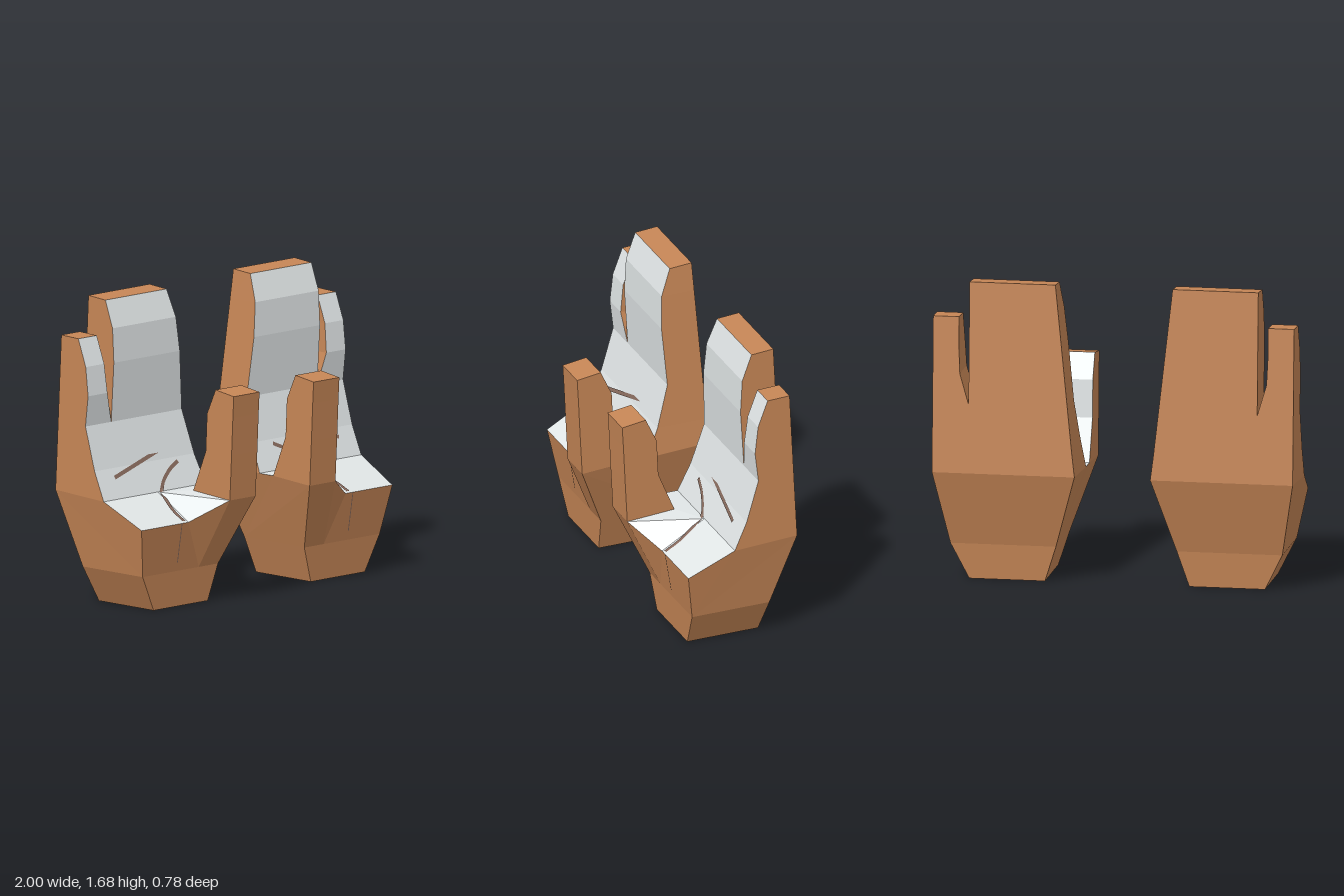
import * as THREE from 'three';

const mat = (name, color, side = THREE.FrontSide) =>
  Object.assign(new THREE.MeshStandardMaterial({ color, side }), { name });

export function createModel() {
  const skin = mat('skin brown', 0xc68656);
  const pale = mat('palm pale grey', 0xe3e8e9);
  const dark = mat('crease brown', 0x86695c, THREE.DoubleSide);

  // Flat-shaded mesh from corner loops; side = -1 mirrors it and keeps faces outward
  function faces(name, polys, material, side) {
    const pos = [];
    for (const poly of polys) {
      for (let i = 1; i < poly.length - 1; i++) {
        const tri = [poly[0], poly[i], poly[i + 1]];
        if (side < 0) tri.reverse();
        for (const [x, y, z] of tri) pos.push(x * side, y, z);
      }
    }
    const g = new THREE.BufferGeometry();
    g.setAttribute('position', new THREE.Float32BufferAttribute(pos, 3));
    g.computeVertexNormals();
    const m = new THREE.Mesh(g, material);
    m.name = name;
    return m;
  }

  // Stack of four-sided rows [frontY, frontZ, backY, backZ, innerX, outerX];
  // the strip on the palm side ('front', 'back' or none) is pale
  function loft(name, rows, side, { palm = '', top = false, bottom = false } = {}) {
    const rings = rows.map(([fy, fz, by, bz, xi, xo]) =>
      [[xi, fy, fz], [xo, fy, fz], [xo, by, bz], [xi, by, bz]]);
    const brown = [], light = [];
    for (let r = 0; r < rings.length - 1; r++) {
      for (let k = 0; k < 4; k++) {
        const n = (k + 1) % 4;
        const isPalm = (palm === 'front' && k === 0) || (palm === 'back' && k === 2);
        (isPalm ? light : brown).push([rings[r][k], rings[r][n], rings[r + 1][n], rings[r + 1][k]]);
      }
    }
    if (top) brown.push(rings.at(-1));
    if (bottom) brown.push([...rings[0]].reverse());
    const g = new THREE.Group();
    g.name = name;
    g.add(faces(name + 'Skin', brown, skin, side));
    if (light.length) g.add(faces(name + 'PalmSide', light, pale, side));
    return g;
  }

  // Thin ribbon lying just above the palm through [x, z] points
  function crease(name, points, side) {
    const lift = 0.005, half = 0.011;
    const at = (x, z) => {
      const slope = z < -0.02;
      const y = slope ? 0.6 - (z + 0.02) * 16 / 7 : 0.6 - (z + 0.02) * 0.49;
      const n = slope ? new THREE.Vector3(0, 0.4, 0.917) : new THREE.Vector3(0, 0.898, 0.44);
      return { p: new THREE.Vector3(x, y, z).addScaledVector(n, lift), n };
    };
    const curve = new THREE.CatmullRomCurve3(points.map(([x, z]) => new THREE.Vector3(x, 0, z)));
    const mid = curve.getSpacedPoints(24).map(v => at(v.x, v.z));
    const edge = mid.map(({ p, n }, i) => {
      const t = mid[Math.min(i + 1, 24)].p.clone().sub(mid[Math.max(i - 1, 0)].p);
      const w = t.cross(n).normalize().multiplyScalar(half);
      return [p.clone().add(w).toArray(), p.clone().sub(w).toArray()];
    });
    const quads = [];
    for (let i = 0; i < 24; i++) quads.push([edge[i][0], edge[i + 1][0], edge[i + 1][1], edge[i][1]]);
    return faces(name, quads, dark, side);
  }

  // Inner edge and back of the hand taper evenly toward the fingertips
  const inner = y => 0.21 + 0.115 * (y - 0.6) / 1.08;
  const back = y => -0.39 + 0.055 * (y - 0.62) / 1.06;
  const row = (y, z, xi, xo, by = y) => [y, z, by, back(by), xi, xo];

  function hand(name, side) {
    const g = new THREE.Group();
    g.name = name;

    // Wrist
    g.add(loft('wrist', [
      [0, 0.185, 0, -0.235, 0.4, 0.82],
      [0.2, 0.2, 0.2, -0.26, 0.335, 0.92],
    ], side, { bottom: true }));

    // Heel of the hand, with the web that climbs to the thumb
    const w0 = [0.335, 0.2, 0.2], wm = [0.485, 0.2, 0.2], w1 = [0.92, 0.2, 0.2];
    const k0 = [0.335, 0.2, -0.26], k1 = [0.92, 0.2, -0.26];
    const b0 = [0.21, 0.62, -0.39], b1 = [1, 0.62, -0.39];
    const t0 = [0.21, 0.58, 0.365], t1 = [0.41, 0.58, 0.365];
    const r0 = [0.21, 0.6, 0.085], r1 = [0.41, 0.6, 0.085];
    const c = [0.61, 0.47, 0.245], e = [0.974, 0.47, 0.245];
    const p0 = [0.21, 0.6, -0.02], pm = [0.58, 0.6, -0.02], p1 = [1, 0.6, -0.02];
    g.add(faces('heelSkin', [
      [w0, wm, t1, t0], [wm, c, t1], [wm, w1, e, c],
      [w1, k1, b1, p1, e], [k1, k0, b0, b1], [k0, w0, t0, r0, p0, b0],
    ], skin, side));
    g.add(faces('heelPalmSide', [[c, e, p1, pm], [t1, c, pm, r1], [r0, r1, pm, p0]], pale, side));

    // Palm
    g.add(loft('palm', [
      row(0.6, -0.02, 0.21, 1, 0.62),
      row(0.76, -0.09, inner(0.76), 1),
      row(1, -0.16, inner(1), 1),
    ], side, { palm: 'front' }));

    // Joined fingers
    g.add(loft('fingers', [
      row(1, -0.16, inner(1), 0.8),
      row(1.33, -0.14, inner(1.33), 0.8),
      row(1.52, -0.15, inner(1.52), 0.8),
      row(1.67, -0.205, inner(1.68), 0.8, 1.68),
    ], side, { palm: 'front', top: true }));

    // Little finger
    g.add(loft('littleFinger', [
      row(1, -0.16, 0.8, 1),
      row(1.17, -0.14, 0.85, 1),
      row(1.33, -0.158, 0.857, 1),
      row(1.48, -0.215, 0.857, 1, 1.485),
    ], side, { palm: 'front', top: true }));

    // Thumb
    g.add(loft('thumb', [
      [0.58, 0.365, 0.6, 0.085, 0.21, 0.41],
      [0.83, 0.378, 0.83, 0.18, 0.21, 0.41],
      [1.04, 0.388, 1.04, 0.19, 0.21, 0.41],
      [1.16, 0.395, 1.18, 0.255, 0.21, 0.41],
    ], side, { palm: 'back', top: true }));

    // Palm creases
    g.add(crease('upperCrease', [[0.35, -0.126], [0.6, -0.098], [0.87, -0.068]], side));
    g.add(crease('thumbCrease',
      [[0.37, -0.08], [0.47, -0.058], [0.55, -0.022], [0.6, 0.07], [0.628, 0.15], [0.637, 0.235]], side));
    g.add(faces('heelCrease', [[
      [0.66, 0.25, 0.213], [0.666, 0.25, 0.213], [0.666, 0.47, 0.249], [0.66, 0.47, 0.249],
    ]], dark, side));
    return g;
  }

  const model = new THREE.Group();
  model.name = 'pairOfHands';
  model.add(hand('leftHand', 1), hand('rightHand', -1));
  return model;
}
